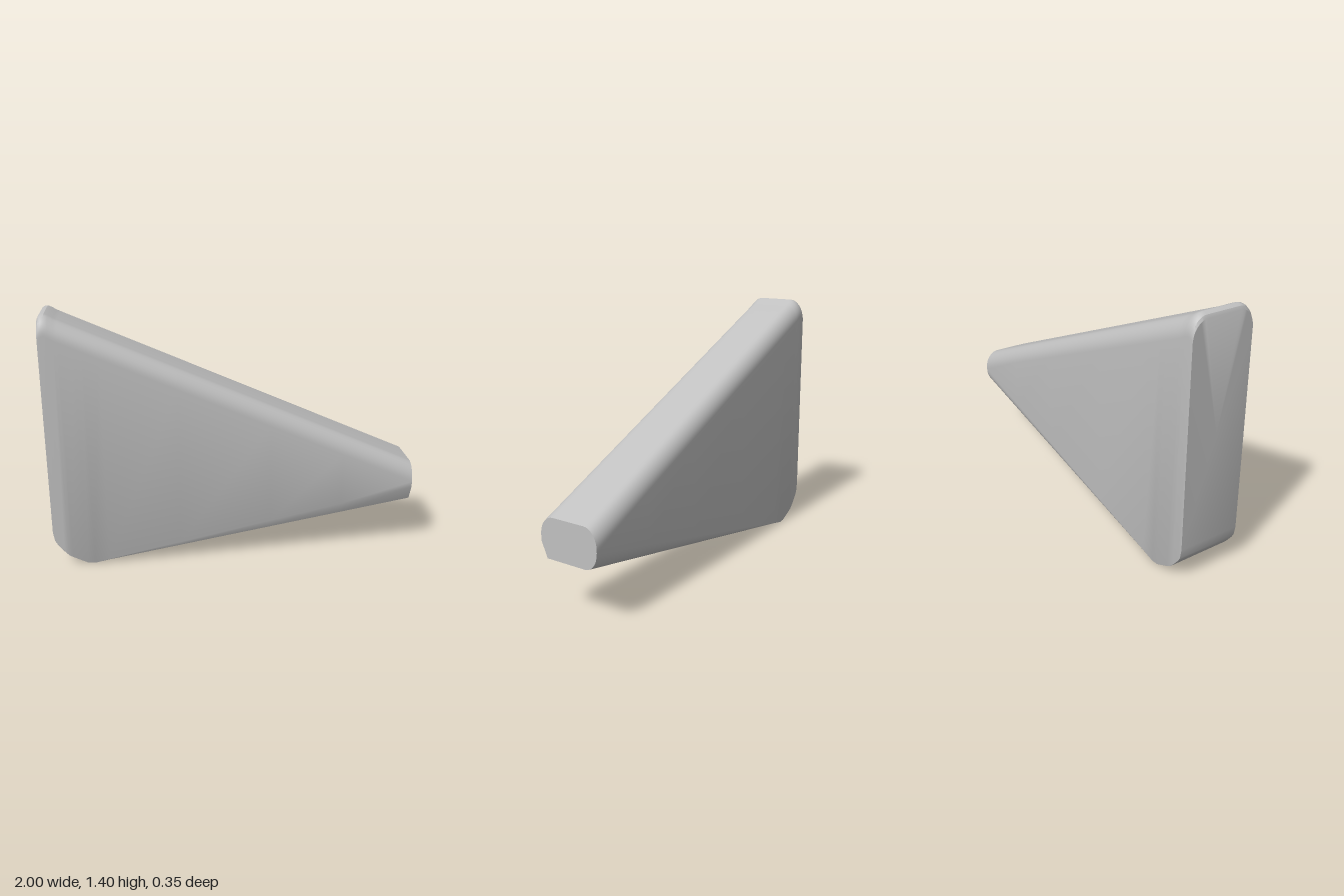
import * as THREE from 'three';
import { toCreasedNormals } from 'three/addons/utils/BufferGeometryUtils.js';

const HALF = 0.175; // half thickness in z

// Sloping upper edge and rising lower edge
const topAt = (x) => 0.52 + (1 - x) * 0.446;
const bottomAt = (x) => 0.304 - (1 - x) * 0.169;

// One closed outline in the y-z plane, counter-clockwise seen from +x
function ring(x, yb, yt) {
  const pts = [];
  const corner = (side, top, rz, ry, from, to, n) => {
    for (let i = 0; i <= n; i++) {
      const t = (from + (to - from) * i / n) * Math.PI / 2;
      const z = side * (HALF - rz + rz * Math.cos(t));
      const y = top ? yt - ry + ry * Math.sin(t) : yb + ry - ry * Math.sin(t);
      pts.push([x, y, z]);
    }
  };
  // Lower rounding grows from nothing at the heel to full size at the tip
  const k = Math.max(0.01, (x + 0.78) / 1.78);
  corner(-1, true, 0.078, 0.1, 0, 1, 10);
  corner(1, true, 0.078, 0.1, 1, 0, 10);
  corner(1, false, 0.036 * k, 0.085 * k, 0, 1, 1);
  corner(-1, false, 0.078 * k, 0.1 * k, 1, 0, 8);
  return pts;
}

function wedgeGeometry() {
  // x, bottom y, top y: rounded heel and small upper corner at the tall end
  const sections = [
    [-1, 0.2, 1.375], [-0.992, 0.15, 1.391], [-0.98, 0.128, 1.398],
    [-0.965, 0.108, 1.4], [-0.945, 0.082, 1.392], [-0.92, 0.055, topAt(-0.92)],
    [-0.9, 0.043, topAt(-0.9)], [-0.82, 0.004, topAt(-0.82)], [-0.78, 0, topAt(-0.78)],
  ];
  for (const x of [-0.7, -0.3, 0.2, 0.6, 1]) sections.push([x, bottomAt(x), topAt(x)]);

  const rings = sections.map((s) => ring(...s));
  const n = rings[0].length;
  const pos = [];
  const tri = (...corners) => corners.forEach((c) => pos.push(...c));

  // Skin between neighbouring sections
  for (let i = 0; i < rings.length - 1; i++) {
    for (let j = 0; j < n; j++) {
      const k = (j + 1) % n;
      const a = rings[i][j], b = rings[i][k], c = rings[i + 1][j], d = rings[i + 1][k];
      tri(a, b, c);
      tri(b, d, c);
    }
  }

  // Flat end faces
  const cap = (r, flip) => {
    const ys = r.map((p) => p[1]);
    const centre = [r[0][0], (Math.min(...ys) + Math.max(...ys)) / 2, 0];
    for (let j = 0; j < n; j++) {
      const k = (j + 1) % n;
      if (flip) tri(centre, r[k], r[j]);
      else tri(centre, r[j], r[k]);
    }
  };
  cap(rings[0], true);
  cap(rings[rings.length - 1], false);

  const geometry = new THREE.BufferGeometry();
  geometry.setAttribute('position', new THREE.Float32BufferAttribute(pos, 3));
  return toCreasedNormals(geometry, 0.5);
}

export function createModel() {
  const grey = new THREE.MeshStandardMaterial({ color: 0xc0c0c0 });
  grey.name = 'light grey';

  const group = new THREE.Group();
  group.name = 'taperedWedge';
  const body = new THREE.Mesh(wedgeGeometry(), grey);
  body.name = 'wedgeBody';
  group.add(body);
  return group;
}
